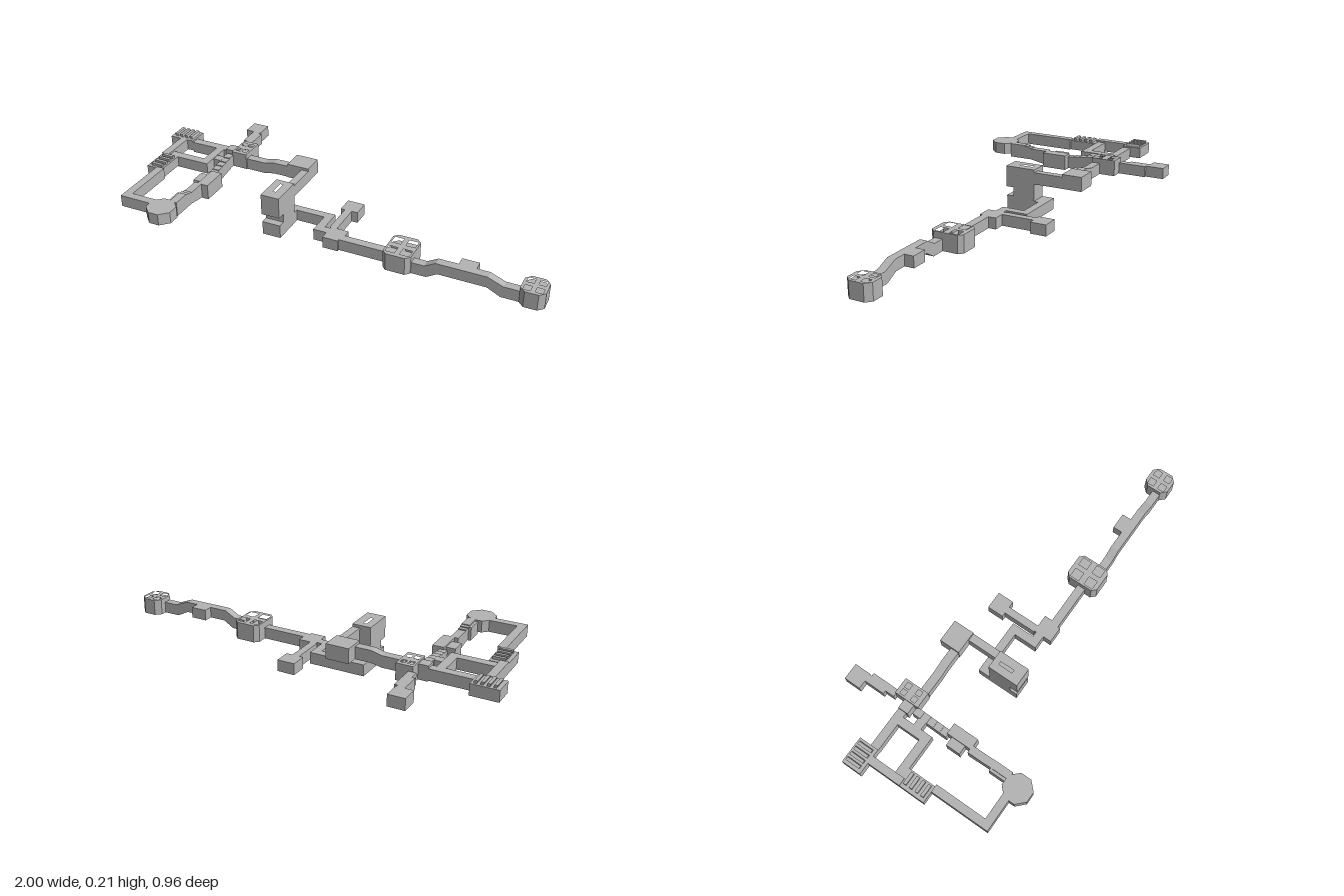
import * as THREE from 'three';

export function createModel() {
  const model = new THREE.Group();
  const stone = new THREE.MeshStandardMaterial({ color: 0xb4b4b4 });
  stone.name = 'grey stone';

  const add = (name, geometry) => {
    const mesh = new THREE.Mesh(geometry, stone);
    mesh.name = name;
    model.add(mesh);
    return mesh;
  };

  // Box given by its limits on each axis
  const block = (name, x0, x1, y0, y1, z0, z1) => {
    const g = new THREE.BoxGeometry(x1 - x0, y1 - y0, z1 - z0);
    g.translate((x0 + x1) / 2, (y0 + y1) / 2, (z0 + z1) / 2);
    return add(name, g);
  };

  const outline = (pts) => pts.map(([a, b]) => new THREE.Vector2(a, b));

  // Side profile in (x, y), swept from z0 to z1
  const sweepZ = (name, pts, z0, z1) => {
    const g = new THREE.ExtrudeGeometry(new THREE.Shape(outline(pts)), { depth: z1 - z0, bevelEnabled: false });
    g.translate(0, 0, z0);
    return add(name, g);
  };

  // Side profile in (z, y), swept from x0 to x1
  const sweepX = (name, pts, x0, x1) => {
    const shape = new THREE.Shape(outline(pts.map(([z, y]) => [-z, y])));
    const g = new THREE.ExtrudeGeometry(shape, { depth: x1 - x0, bevelEnabled: false });
    g.rotateY(Math.PI / 2);
    g.translate(x0, 0, 0);
    return add(name, g);
  };

  // Plan in (x, z), raised from y0 to y1, with optional square holes [x0, x1, z0, z1]
  const plan = (name, pts, y0, y1, holes = []) => {
    const shape = new THREE.Shape(outline(pts.map(([x, z]) => [x, -z])));
    for (const [a, b, c, d] of holes) {
      shape.holes.push(new THREE.Path(outline([[a, -c], [b, -c], [b, -d], [a, -d]])));
    }
    const g = new THREE.ExtrudeGeometry(shape, { depth: y1 - y0, bevelEnabled: false });
    g.rotateX(-Math.PI / 2);
    g.translate(0, y0, 0);
    return add(name, g);
  };

  // Rectangle with cut corners
  const chamfered = (x0, x1, z0, z1, c) => [
    [x0 + c, z0], [x1 - c, z0], [x1, z0 + c], [x1, z1 - c],
    [x1 - c, z1], [x0 + c, z1], [x0, z1 - c], [x0, z0 + c],
  ];

  // Two by two grid of holes round a centre
  const fourHoles = (cx, cz, dx, dz, s) => [-1, 1].flatMap((i) => [-1, 1].map((j) =>
    [cx + i * dx - s, cx + i * dx + s, cz + j * dz - s, cz + j * dz + s]));

  // ---- Lower level, east end ----
  const endPlan = chamfered(0.89, 1.0, 0.06, 0.18, 0.025);
  plan('endRoom', endPlan, 0, 0.062);
  plan('endRoomRoof', endPlan, 0.062, 0.078, fourHoles(0.945, 0.12, 0.026, 0.028, 0.016));

  sweepZ('archedCorridor', [
    [0.41, 0], [0.48, 0], [0.53, 0.03], [0.75, 0.03], [0.81, 0], [0.89, 0],
    [0.89, 0.055], [0.82, 0.055], [0.75, 0.083], [0.52, 0.083], [0.47, 0.055], [0.41, 0.055],
  ], 0.115, 0.155);
  block('corridorAlcove', 0.61, 0.69, 0.03, 0.083, 0.07, 0.115);

  // Pillared hall with four shafts in its roof
  const hallPlan = chamfered(0.28, 0.41, 0.02, 0.18, 0.02);
  plan('pillarHall', hallPlan, 0, 0.055);
  plan('pillarHallRoof', hallPlan, 0.055, 0.085, fourHoles(0.345, 0.1, 0.034, 0.037, 0.022));
  block('hallCorridor', 0.05, 0.28, 0, 0.055, 0.088, 0.128);

  // Small crossing room with side passages
  block('crossingRoom', -0.02, 0.055, 0, 0.055, 0.05, 0.14);
  block('crossingRoomBay', 0.055, 0.068, 0, 0.055, 0.05, 0.09);
  block('northPassage', -0.025, 0.01, 0, 0.055, -0.11, 0.05);
  block('northCell', -0.045, 0.04, 0, 0.055, -0.19, -0.11);
  block('bentPassage', -0.085, -0.045, 0, 0.055, -0.05, 0.1);
  block('bentPassageEnd', -0.05, -0.02, 0, 0.055, 0.06, 0.1);
  block('towerPassage', -0.23, -0.05, 0, 0.055, -0.05, -0.012);

  // ---- Stair tower joining the levels ----
  const slot = [[-0.28, -0.265, 0.04, 0.11]];
  const rect = (x0, x1, z0, z1) => [[x0, z0], [x1, z0], [x1, z1], [x0, z1]];
  block('towerEntry', -0.315, -0.225, 0, 0.055, -0.05, 0.01);
  plan('towerBase', rect(-0.315, -0.225, 0.01, 0.155), 0, 0.065, slot);
  plan('towerNeck', rect(-0.315, -0.225, 0.01, 0.12), 0.065, 0.108, slot);
  plan('towerTop', rect(-0.315, -0.225, 0.01, 0.16), 0.108, 0.21, slot);
  block('towerBridge', -0.262, -0.225, 0.14, 0.197, -0.14, 0.01);

  // ---- Upper level ----
  block('cornerRoom', -0.335, -0.225, 0.14, 0.21, -0.235, -0.135);
  sweepZ('rampCorridor', [
    [-0.555, 0.13], [-0.46, 0.13], [-0.41, 0.14], [-0.335, 0.14],
    [-0.335, 0.197], [-0.41, 0.197], [-0.46, 0.185], [-0.555, 0.185],
  ], -0.178, -0.138);

  // Junction with shafts in the roof
  const junction = rect(-0.635, -0.558, -0.255, -0.135);
  plan('junction', junction, 0.13, 0.185);
  plan('junctionRoof', junction, 0.185, 0.207, fourHoles(-0.597, -0.196, 0.017, 0.028, 0.012));
  block('junctionWing', -0.68, -0.635, 0.13, 0.2, -0.205, -0.155);

  // North branch
  block('northBranchNear', -0.65, -0.615, 0.13, 0.183, -0.39, -0.255);
  block('northBranchFar', -0.665, -0.63, 0.13, 0.183, -0.41, -0.3);
  block('northRoom', -0.705, -0.627, 0.13, 0.183, -0.48, -0.4);

  // West branch and the ribbed rooms
  block('westCorridor', -0.875, -0.63, 0.135, 0.188, -0.205, -0.165);
  block('northWestRoom', -1.0, -0.875, 0.142, 0.195, -0.26, -0.165);
  for (let i = 0; i < 4; i++) {
    const x = -0.98 + i * 0.027;
    sweepZ('roofRib', [[x, 0.19], [x + 0.014, 0.19], [x + 0.008, 0.208], [x - 0.006, 0.208]], -0.25, -0.18);
  }
  block('westPassage', -0.945, -0.908, 0.142, 0.197, -0.165, 0);
  block('westRoom', -0.945, -0.862, 0.142, 0.19, -0.012, 0.125);
  for (let i = 0; i < 4; i++) {
    const z = 0.008 + i * 0.03;
    block('roofRib', -0.928, -0.87, 0.19, 0.203, z, z + 0.015);
  }
  block('innerCorridor', -0.91, -0.7, 0.135, 0.188, -0.05, -0.01);
  block('innerLink', -0.74, -0.7, 0.135, 0.188, -0.165, -0.05);
  block('innerDoorway', -0.7, -0.66, 0.135, 0.185, -0.11, -0.07);

  // South loop
  block('southWestCorridor', -0.89, -0.852, 0.142, 0.197, 0.125, 0.412);
  block('southCorridor', -0.852, -0.72, 0.142, 0.197, 0.375, 0.412);
  plan('octagonRoom', chamfered(-0.737, -0.612, 0.35, 0.478, 0.038), 0.142, 0.197);

  // Stepped corridor from the octagon down to the east room and up to the junction
  sweepX('southSteps', [
    [0.36, 0.197], [0.28, 0.197], [0.28, 0.193], [0.26, 0.193], [0.26, 0.188], [0.24, 0.188],
    [0.24, 0.183], [0.15, 0.183], [0.15, 0.112], [0.19, 0.118], [0.24, 0.128], [0.36, 0.128],
  ].reverse(), -0.667, -0.63);
  block('southJog', -0.68, -0.63, 0.128, 0.19, 0.27, 0.355);
  block('eastRoom', -0.65, -0.597, 0.11, 0.183, 0.03, 0.155);
  block('eastRoomBay', -0.692, -0.65, 0.11, 0.175, 0.055, 0.125);
  const steps = 5;
  for (let i = 0; i < steps; i++) {
    const z = 0.03 - i * 0.034;
    block('northStep', -0.665, -0.63, 0.112 + i * 0.005, 0.172 + i * 0.004, z - 0.036, z + 0.004);
  }

  // Rest the whole thing in the middle of its footprint
  return model;
}
